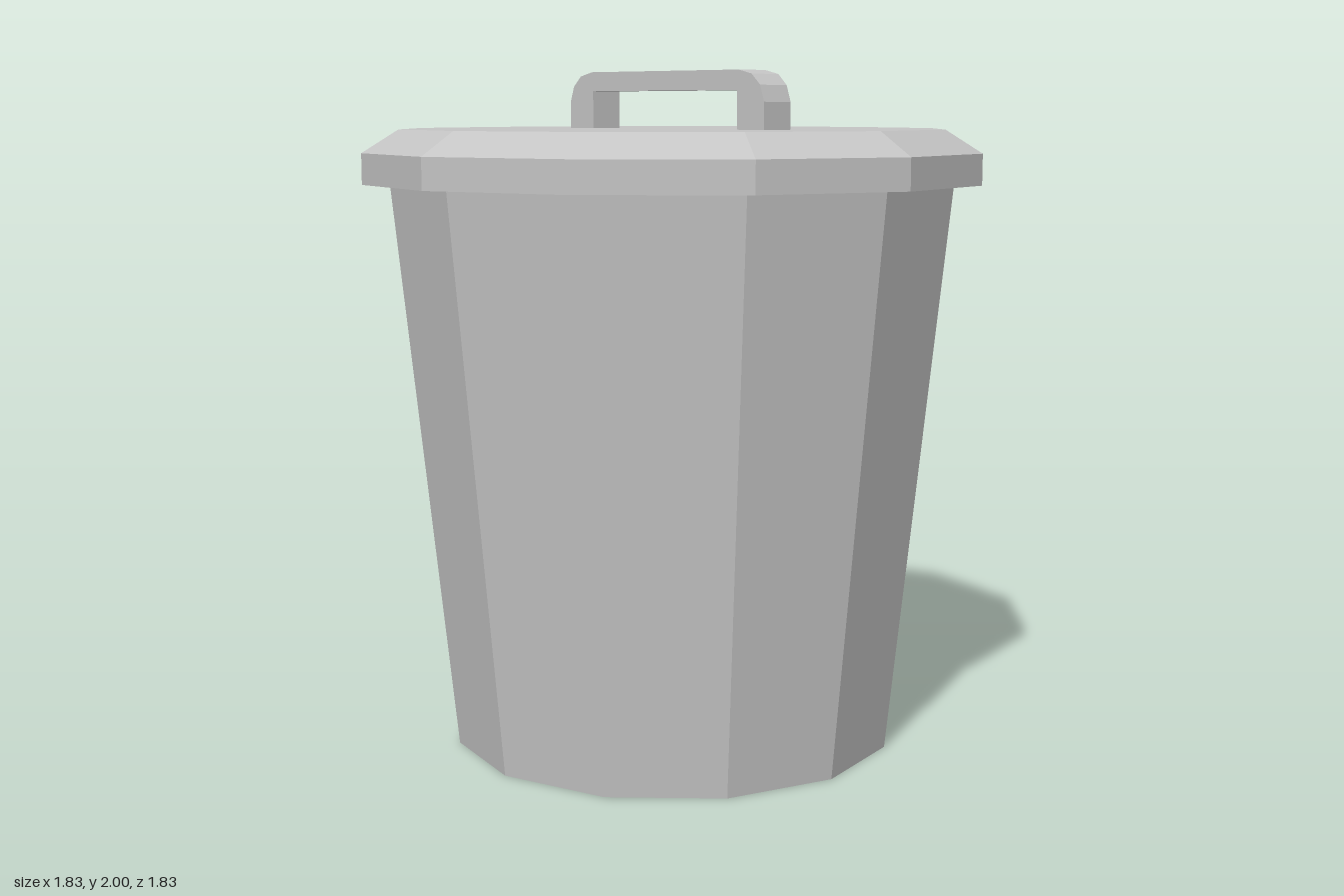
import * as THREE from 'three';

const SIDES = 12;

export function createModel() {
  const model = new THREE.Group();
  const metal = new THREE.MeshStandardMaterial({ color: 0xc4c4c4, flatShading: true });
  metal.name = 'galvanised grey';

  const add = (name, geometry) => {
    const mesh = new THREE.Mesh(geometry, metal);
    mesh.name = name;
    model.add(mesh);
    return mesh;
  };

  // Tapered bin with a closed base
  add('body', new THREE.CylinderGeometry(0.835, 0.66, 1.675, SIDES)).position.y = 0.8375;

  // Lid: flat underside, upright rim, bevel, flat top
  const lidProfile = [[0, 1.675], [0.915, 1.675], [0.915, 1.765], [0.808, 1.832], [0, 1.832]]
    .map(([r, y]) => new THREE.Vector2(r, y));
  add('lid', new THREE.LatheGeometry(lidProfile, SIDES));

  // Handle: arch with chamfered outer corners and square inner corners
  const half = [[0.416, 1.83], [0.416, 1.91], [0.4, 1.957], [0.367, 1.988], [0.315, 2]];
  const mirror = (pts) => pts.map(([x, y]) => [-x, y]).reverse();
  const inner = [[0.31, 1.83], [0.31, 1.943]];
  const outline = [...half, ...mirror(half), ...inner.map(([x, y]) => [-x, y]), ...[...inner].reverse()];
  const arch = new THREE.Shape(outline.map(([x, y]) => new THREE.Vector2(x, y)));
  const handle = new THREE.ExtrudeGeometry(arch, { depth: 0.107, bevelEnabled: false });
  add('handle', handle).position.z = -0.064;

  return model;
}
